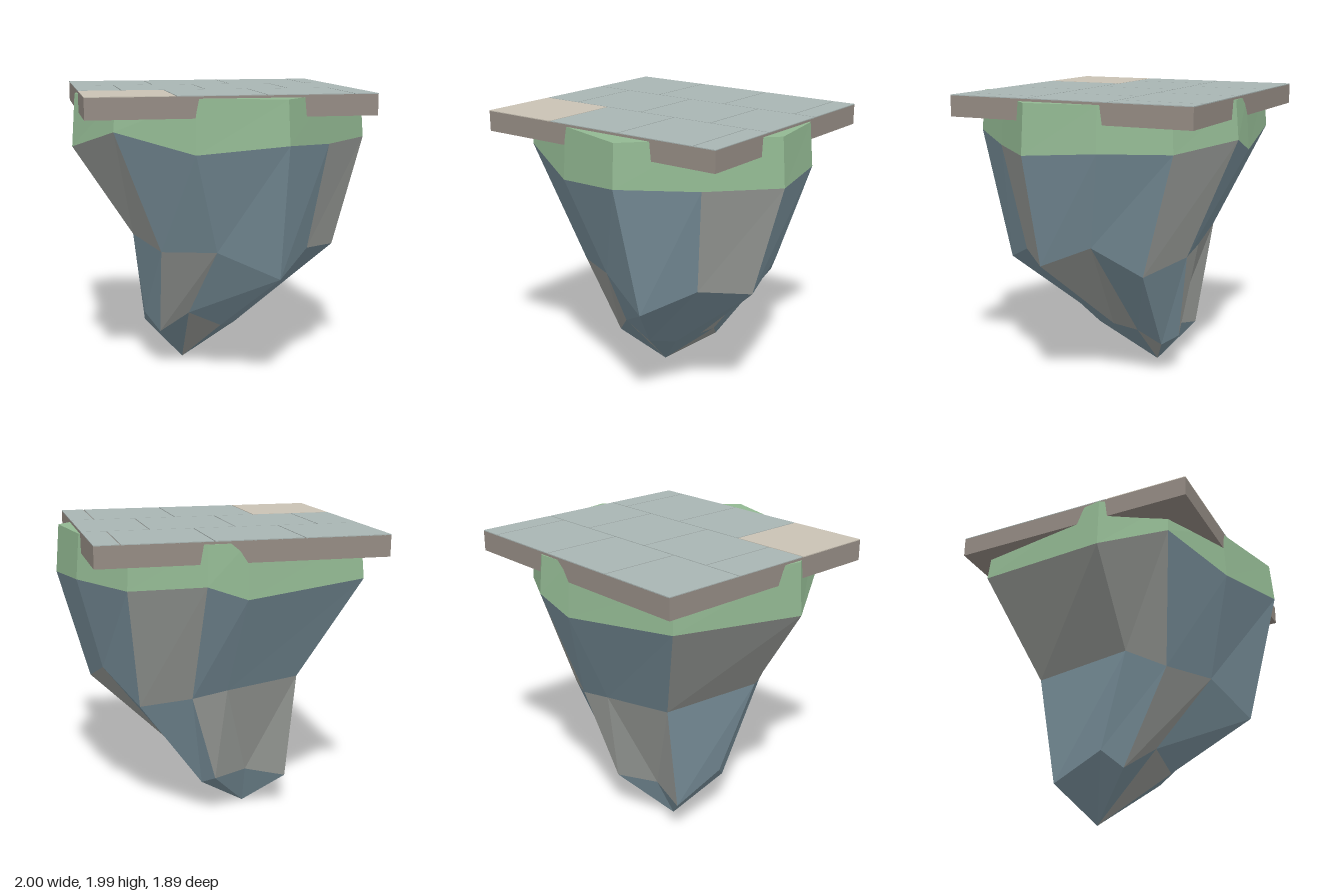
import * as THREE from 'three';

const flat = (name, color) => Object.assign(new THREE.MeshStandardMaterial({ color, flatShading: true }), { name });

// Cross-sections, counter-clockwise from the front point (x, y, z)
const RIM = [
  [0.27, 1.685, 0.945], [0.64, 1.645, 0.55], [1.0, 1.645, 0.175], [0.92, 1.675, -0.3],
  [0.66, 1.66, -0.69], [0.22, 1.715, -0.945], [-0.04, 1.62, -0.925], [-0.84, 1.69, -0.78],
  [-1.0, 1.62, 0.16], [-0.765, 1.75, 0.56], [-0.28, 1.62, 0.78]];
const WAIST = [
  [0.28, 0.79, 0.715], [0.535, 0.93, 0.435], [0.79, 0.895, 0.18], [0.75, 1.045, -0.17],
  [0.55, 0.835, -0.44], [0.237, 0.92, -0.615], [0.0, 0.955, -0.6], [-0.5, 0.995, -0.515],
  [-0.61, 1.02, 0.18], [-0.45, 0.935, 0.4], [-0.11, 0.955, 0.58]];
const FOOT = [
  [-0.02, 0.36, 0.24], [0.11, 0.34, 0.1], [0.21, 0.375, -0.06], [0.2, 0.35, -0.24],
  [0.12, 0.24, -0.385], [0.05, 0.3, -0.485], [-0.2, 0.29, -0.34], [-0.47, 0.24, -0.4],
  [-0.51, 0.4, -0.04], [-0.42, 0.29, 0.08], [-0.24, 0.46, 0.23]];
const TIP = [-0.22, 0, -0.205];
const TOP = RIM.map(([x, , z]) => [x * 0.975, 1.965, z * 0.975]);
const N = RIM.length;

// Band between two rings; paint(i) gives the material index of each facet
function band(mesh, lower, upper, paint = () => 0) {
  for (let i = 0; i < N; i++) {
    const j = (i + 1) % N;
    mesh.push([paint(i), lower[i], lower[j], upper[j]], [paint(i), lower[i], upper[j], upper[i]]);
  }
}

// Triangles [material, a, b, c] to a grouped geometry
function toGeometry(tris) {
  const sorted = [...tris].sort((a, b) => a[0] - b[0]);
  const geo = new THREE.BufferGeometry();
  geo.setAttribute('position', new THREE.Float32BufferAttribute(sorted.flatMap(t => t.slice(1).flat()), 3));
  sorted.forEach((t, k) => {
    const last = geo.groups[geo.groups.length - 1];
    if (last && last.materialIndex === t[0]) last.count += 3;
    else geo.addGroup(k * 3, 3, t[0]);
  });
  geo.computeVertexNormals();
  return geo;
}

export function createModel() {
  const group = new THREE.Group();
  group.name = 'floatingIsland';
  const blueRock = flat('blueRock', 0x788f9a);
  const greyRock = flat('greyRock', 0x989b97);
  const grass = flat('grass', 0x92b892);
  const mortar = flat('mortar', 0x958c84);
  const paving = flat('paving', 0xa9b5b3);
  const sandPaving = flat('sandPaving', 0xc9c2b4);

  const add = (name, geo, mat, x = 0, y = 0, z = 0, parent = group) => {
    const m = new THREE.Mesh(geo, mat);
    m.name = name;
    m.position.set(x, y, z);
    parent.add(m);
  };
  const greyAt = (...list) => i => (list.includes(i) ? 1 : 0);

  // Hanging rock, narrowing to an off-centre tip
  const rock = [];
  band(rock, WAIST, RIM, greyAt(1, 4, 7, 8));
  band(rock, FOOT, WAIST, greyAt(2, 5, 6, 9));
  const tipGrey = greyAt(3, 10);
  for (let i = 0; i < N; i++) rock.push([tipGrey(i), TIP, FOOT[(i + 1) % N], FOOT[i]]);
  add('rock', toGeometry(rock), [blueRock, greyRock]);

  // Grass collar with its flat top
  const collar = [];
  band(collar, RIM, TOP);
  for (let i = 0; i < N; i++) collar.push([0, [0, 1.965, 0], TOP[i], TOP[(i + 1) % N]]);
  add('grassCollar', toGeometry(collar), [grass]);

  // Mortar slab
  const X0 = -0.955, X1 = 0.888, Z0 = -0.91, Z1 = 0.765;
  add('slab', new THREE.BoxGeometry(X1 - X0, 0.135, Z1 - Z0), mortar, (X0 + X1) / 2, 1.9125, (Z0 + Z1) / 2);

  // Paving stones in running bond, one of them sandy
  const stones = new THREE.Group();
  stones.name = 'pavingStones';
  group.add(stones);
  const rows = [Z0, -0.362, 0.2, Z1];
  const joints = [[-0.397, 0.168, 0.73], [-0.675, -0.113, 0.452], [-0.397, 0.168, 0.73]];
  const gap = 0.004;
  joints.forEach((cuts, r) => {
    const xs = [X0, ...cuts, X1];
    const za = rows[r] + (r > 0 ? gap : 0), zb = rows[r + 1] - (r < 2 ? gap : 0);
    for (let c = 0; c < xs.length - 1; c++) {
      const xa = xs[c] + (c > 0 ? gap : 0), xb = xs[c + 1] - (c < xs.length - 2 ? gap : 0);
      add('pavingStone', new THREE.BoxGeometry(xb - xa, 0.006, zb - za),
        r === 2 && c === 0 ? sandPaving : paving, (xa + xb) / 2, 1.982, (za + zb) / 2, stones);
    }
  });
  return group;
}
